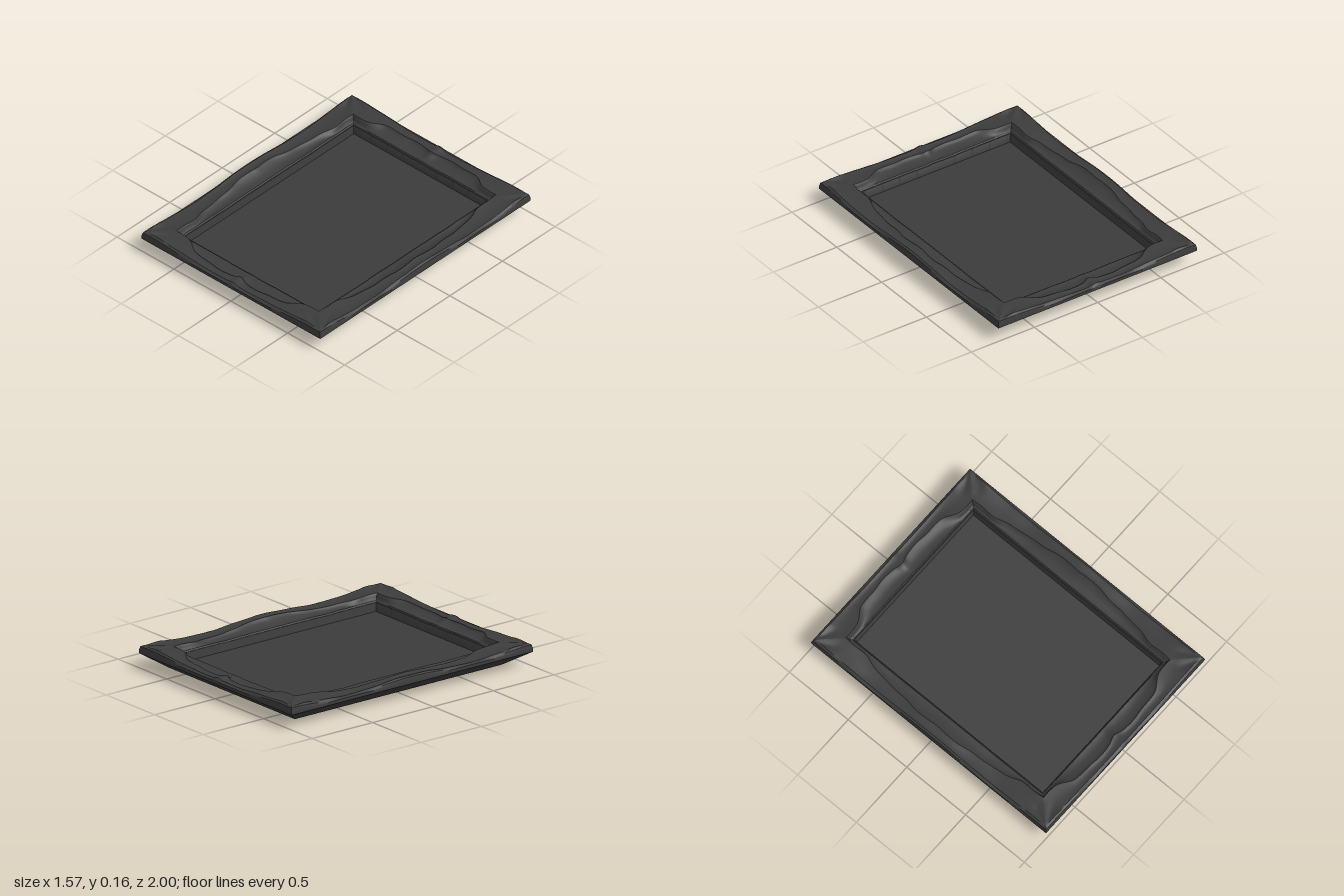
import * as THREE from 'three';
import { toCreasedNormals } from 'three/addons/utils/BufferGeometryUtils.js';

const HALF_X = 0.785, HALF_Z = 1;
const material = new THREE.MeshStandardMaterial({ color: 0x3c3c3c });
const gauss = (v, w) => Math.exp(-(v * v) / (w * w));
const lerp = THREE.MathUtils.lerp;
const smooth = THREE.MathUtils.smoothstep;

// Height of the carved rim along a side, u from -1 to 1
function rimHeight(u, short) {
  if (short) return 0.13 + 0.025 * smooth(Math.abs(u), 0.2, 0.9) + 0.012 * gauss(u, 0.05);
  return 0.1425 + 0.0125 * Math.cos(2 * Math.PI * u);
}

// How far in from the outer edge the carved ridge runs
function ridgeInset(u, short) {
  const a = Math.abs(u);
  if (short) {
    return 0.082 + 0.015 * smooth(a, 0.25, 0.6) + 0.068 * smooth(a, 0.55, 0.83)
      + 0.022 * gauss(u, 0.06) + 0.003 * Math.sin(a * 22);
  }
  return 0.085 + 0.035 * smooth(a, 0.05, 0.55) + 0.045 * smooth(a, 0.5, 0.85)
    + 0.008 * gauss(u, 0.04) + 0.003 * Math.sin(a * 26);
}

// Shallow fluted shell at each corner, plus gentle hand-carved ripples
function relief(x, z) {
  const dx = HALF_X - Math.abs(x), dz = HALF_Z - Math.abs(z);
  const angle = Math.atan2(dz, dx) - Math.PI / 4;
  const r = Math.hypot(dx, dz);
  const shell = 0.005 * Math.cos(angle * 9) * smooth(r, 0.02, 0.08) * (1 - smooth(r, 0.15, 0.2));
  return shell + 0.0015 * Math.sin(x * 19) * Math.cos(z * 23);
}

// Cross-section from the back recess, round the outside, to the opening: [inset, y, relief]
function section(u, short) {
  const h = rimHeight(u, short), r = ridgeInset(u, short);
  const points = [
    [0.22, 0.02, 0], [0.22, 0, 0], [0.152, 0, 0], [0.14, 0.006, 0],
    [0, 0.1, 0], [0, 0.122, 0], [0.006, h - 0.008, 0.3],
  ];
  // carved band
  for (let i = 0; i <= 8; i++) {
    const t = i / 8;
    points.push([lerp(0.02, r - 0.008, t), h - 0.006 * Math.sin(Math.PI * t), 1]);
  }
  // ridge step and cove running down to the lip
  const foot = h - 0.01, lip = Math.min(0.115, h - 0.018);
  points.push([r, foot, 0.5]);
  for (let i = 1; i <= 6; i++) {
    const t = i / 6;
    points.push([lerp(r, 0.186, t), lerp(foot, lip, t) - 0.009 * Math.sin(Math.PI * t), 0.2 * (1 - t)]);
  }
  // sight edge and inner wall
  points.push([0.193, lip - 0.008, 0], [0.198, lip - 0.008, 0], [0.207, 0.045, 0]);
  return points;
}

// Sweeps the section along one side; turn = quarter turns from the front
function frameSide(turn, steps = 110) {
  const short = turn % 2 === 0;
  const halfAlong = short ? HALF_X : HALF_Z, halfOut = short ? HALF_Z : HALF_X;
  const positions = [], index = [];
  let rows = 0;
  for (let s = 0; s <= steps; s++) {
    const u = -1 + 2 * s / steps;
    const points = section(u, short);
    rows = points.length;
    for (const [inset, y, amount] of points) {
      const t = u * (halfAlong - inset), h = halfOut - inset;
      const [x, z] = [[t, h], [h, -t], [-t, -h], [-h, t]][turn];
      positions.push(x, y + amount * relief(x, z), z);
    }
  }
  for (let s = 0; s < steps; s++) {
    for (let p = 0; p < rows - 1; p++) {
      const a = s * rows + p, b = a + rows;
      index.push(a, b, b + 1, a, b + 1, a + 1);
    }
  }
  const geometry = new THREE.BufferGeometry();
  geometry.setAttribute('position', new THREE.Float32BufferAttribute(positions, 3));
  geometry.setIndex(index);
  return toCreasedNormals(geometry, 0.6);
}

export function createModel() {
  const model = new THREE.Group();
  model.name = 'pictureFrame';

  // Four mitred frame sides
  ['frontRail', 'leftRail', 'backRail', 'rightRail'].forEach((name, turn) => {
    const rail = new THREE.Mesh(frameSide(turn), material);
    rail.name = name;
    model.add(rail);
  });

  // Flat picture panel set into the opening
  const panel = new THREE.Mesh(new THREE.BoxGeometry(1.18, 0.03, 1.61), material);
  panel.name = 'picturePanel';
  panel.position.y = 0.035;
  model.add(panel);

  return model;
}
